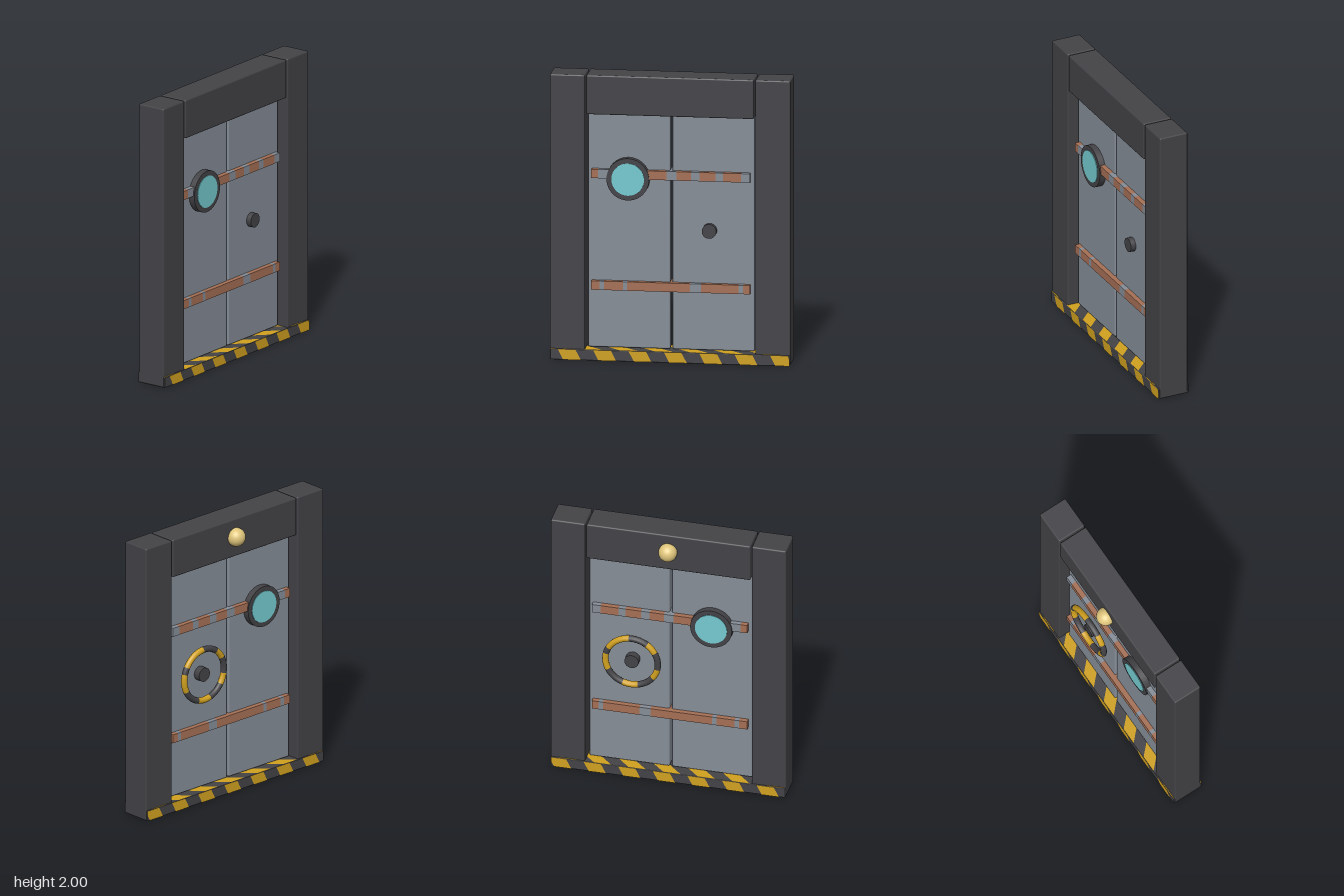
import * as THREE from 'three';
import { RoundedBoxGeometry } from 'three/addons/geometries/RoundedBoxGeometry.js';

const mat = (name, color, extra = {}) => {
  const m = new THREE.MeshStandardMaterial({ color, ...extra });
  m.name = name;
  return m;
};

export function createModel() {
  const frame = mat('dark frame steel', 0x434246);
  const steel = mat('door steel', 0x858d97);
  const rust = mat('rust', 0xa56f55);
  const yellow = mat('hazard yellow', 0xd0a01f);
  const glass = mat('window glass', 0x74cad0);
  const lampMat = mat('lamp', 0xe0c67c);

  const model = new THREE.Group();
  const midZ = 0.035; // centre plane of the frame and doors

  const add = (name, geometry, material, x = 0, y = 0, z = 0, parent = model) => {
    const mesh = new THREE.Mesh(geometry, material);
    mesh.name = name;
    mesh.position.set(x, y, z);
    parent.add(mesh);
    return mesh;
  };
  // Box given by its limits, with softened edges
  const block = (name, x0, x1, y0, y1, z0, z1, r, material) =>
    add(name, new RoundedBoxGeometry(x1 - x0, y1 - y0, z1 - z0, 2, r), material,
      (x0 + x1) / 2, (y0 + y1) / 2, (z0 + z1) / 2);
  // Cylinder along z, given by its limits
  const disc = (name, r, x, y, z0, z1, material) =>
    add(name, new THREE.CylinderGeometry(r, r, z1 - z0, 40).rotateX(Math.PI / 2), material,
      x, y, (z0 + z1) / 2);

  // Frame: two posts and a lintel
  block('leftPost', 0.588, 0.83, 0.004, 2, -0.07, 0.142, 0.01, frame);
  block('rightPost', -0.83, -0.588, 0.004, 2, -0.07, 0.142, 0.01, frame);
  block('lintel', -0.578, 0.578, 1.725, 2, -0.07, 0.142, 0.01, frame);

  // Two door leaves with a narrow gap between
  block('leftDoor', 0.008, 0.574, 0.08, 1.728, 0, 0.07, 0.01, steel);
  block('rightDoor', -0.574, -0.008, 0.08, 1.728, 0, 0.07, 0.01, steel);

  // Sill
  const half = 0.826;
  block('sill', -half, half, 0.001, 0.076, -0.078, 0.151, 0.005, frame);

  // Keep the part of a convex polygon where side * x <= half
  const clip = (points, side) => {
    const out = [];
    points.forEach((p, i) => {
      const q = points[(i + 1) % points.length];
      const a = half - side * p.x, b = half - side * q.x;
      if (a >= 0) out.push(p);
      if (a * b < 0) out.push(p.clone().lerp(q, a / (a - b)));
    });
    return out;
  };
  // Row of slanted stripes on a strip of the given height, centred on the origin
  const stripes = (name, height, start, shift) => {
    const shapes = [];
    const h = height / 2, w = 0.122;
    for (let k = -2; k < 10; k++) {
      const x = start + k * 0.244;
      const corners = [[x + shift, -h], [x + shift + w, -h], [x + w, h], [x, h]]
        .map(([a, b]) => new THREE.Vector2(a, b));
      const points = clip(clip(corners, 1), -1);
      if (points.length > 2) shapes.push(new THREE.Shape(points));
    }
    return add(name, new THREE.ShapeGeometry(shapes), yellow);
  };
  stripes('frontSillStripes', 0.073, -0.773, 0.037).position.set(0, 0.0385, 0.1525);
  const back = stripes('backSillStripes', 0.073, -0.84, 0.037);
  back.position.set(0, 0.0385, -0.0795);
  back.rotation.y = Math.PI;
  const top = stripes('topSillStripes', 0.226, -0.82, 0.233);
  top.position.set(0, 0.0775, 0.0365);
  top.rotation.x = -Math.PI / 2;
  const under = stripes('undersideSillStripes', 0.226, -0.587, -0.233);
  under.position.set(0, 0, 0.0365);
  under.rotation.x = Math.PI / 2;

  // Cross bars through both leaves, worn to bare steel in places
  const bar = (name, y, bareSpans) => {
    const group = new THREE.Group();
    group.name = name;
    model.add(group);
    const piece = (x0, x1, material) => x1 - x0 > 0.001 && add(
      material === rust ? 'rustyPiece' : 'barePiece',
      new THREE.BoxGeometry(x1 - x0, 0.062, 0.142), material, (x0 + x1) / 2, y, midZ, group);
    let x = -0.548;
    for (const [a, b] of bareSpans) {
      piece(x, a, rust);
      piece(a, b, steel);
      x = b;
    }
    piece(x, 0.548, rust);
  };
  bar('upperBar', 1.302, [[-0.5, -0.43], [-0.03, 0.04], [0.14, 0.2], [0.31, 0.36], [0.485, 0.548]]);
  bar('lowerBar', 0.519, [[-0.49, -0.46], [-0.33, -0.3], [0.135, 0.21], [0.47, 0.5]]);

  // Round window, showing on both faces
  disc('windowFrame', 0.147, -0.295, 1.27, -0.045, 0.115, frame);
  disc('windowGlass', 0.113, -0.295, 1.27, -0.049, 0.119, glass);

  // Hub through the door, and the striped hand wheel on the back
  const hubX = 0.265, hubY = 0.92;
  disc('wheelHub', 0.05, hubX, hubY, -0.05, 0.107, frame);
  const wheel = new THREE.Group();
  wheel.name = 'handWheel';
  wheel.position.set(hubX, hubY, -0.045);
  wheel.rotation.y = Math.PI;
  model.add(wheel);
  const arc = (from, to, material) => {
    const rad = THREE.MathUtils.degToRad;
    const g = new THREE.TorusGeometry(0.185, 0.022, 12, Math.ceil((to - from) / 6), rad(to - from));
    add('wheelArc', g.rotateZ(rad(from)), material, 0, 0, 0, wheel);
  };
  const cuts = [30, 55, 95, 150, 165, 205, 250, 285, 325, 350, 390];
  for (let i = 0; i < cuts.length - 1; i++) arc(cuts[i], cuts[i + 1], i % 2 ? frame : yellow);

  // Lamp on the back of the lintel
  add('lamp', new THREE.SphereGeometry(0.065, 32, 20), lampMat, 0, 1.872, -0.084);

  return model;
}
